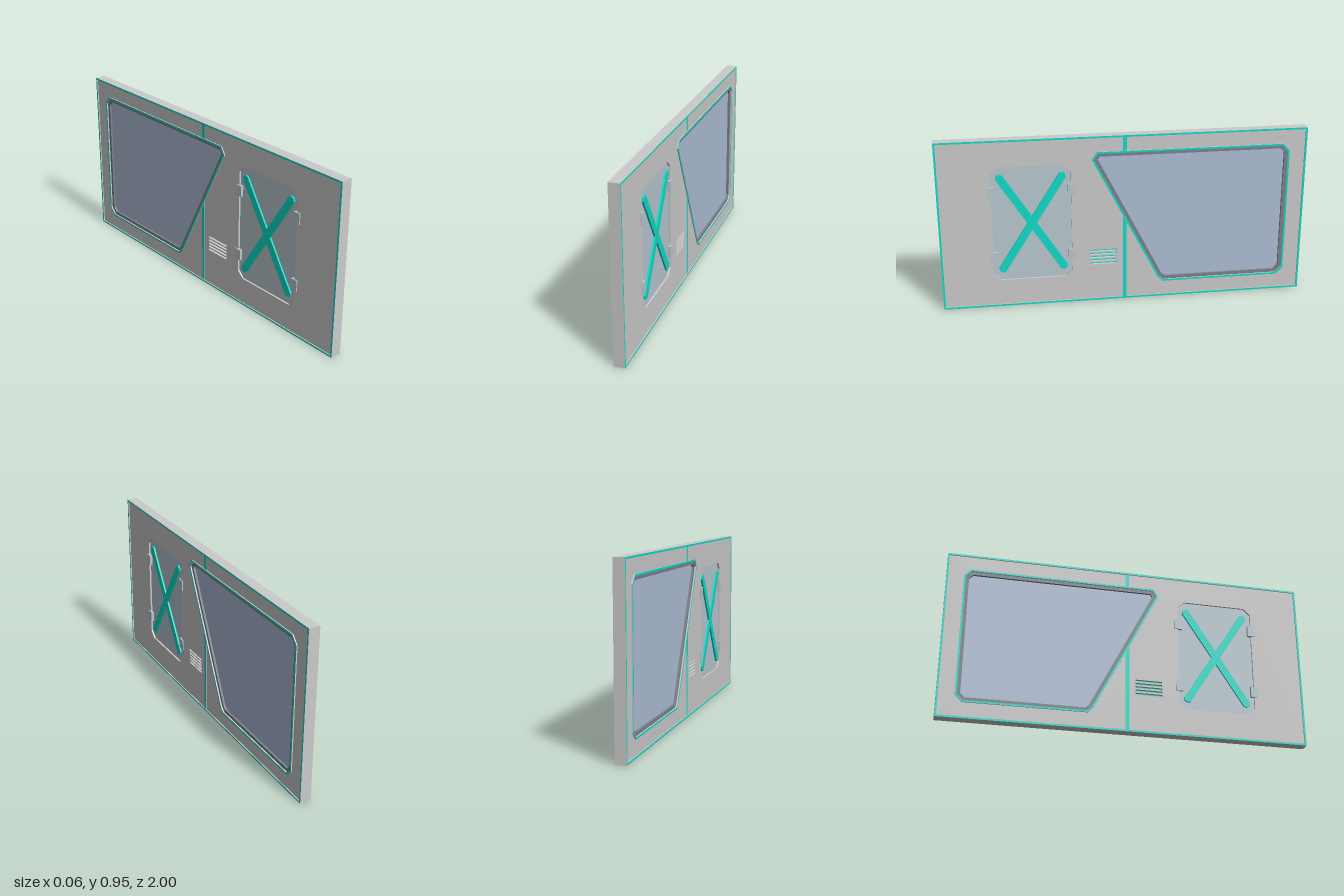
import * as THREE from 'three';

const mat = (color, extra = {}) => new THREE.MeshStandardMaterial({ color, ...extra });
const grey = mat(0xcccccc);
const cyan = mat(0x10dcc8);
const darkGrey = mat(0x7c838c);
const glassBlue = mat(0xafbed6);
const hatchBlue = mat(0xb9c8d0);

// Outlines are [z, y] pairs, counter-clockwise
const rect = (z0, y0, z1, y1) => [[z0, y0], [z1, y0], [z1, y1], [z0, y1]];

const chamferRect = (z0, y0, z1, y1, c) => [
  [z0 + c, y0], [z1 - c, y0], [z1, y0 + c], [z1, y1 - c],
  [z1 - c, y1], [z0 + c, y1], [z0, y1 - c], [z0, y0 + c],
];

// Move every edge of an outline inwards by d
function inset(pts, d) {
  const n = pts.length;
  const normal = (a, b) => {
    const l = Math.hypot(b[0] - a[0], b[1] - a[1]);
    return [-(b[1] - a[1]) / l, (b[0] - a[0]) / l];
  };
  return pts.map((p, i) => {
    const a = normal(pts[(i + n - 1) % n], p);
    const b = normal(p, pts[(i + 1) % n]);
    const k = d / (1 + a[0] * b[0] + a[1] * b[1]);
    return [p[0] + (a[0] + b[0]) * k, p[1] + (a[1] + b[1]) * k];
  });
}

const toVectors = (pts) => pts.map(([z, y]) => new THREE.Vector2(z, y));

// Slab symmetric about x = 0, reaching out to +-half on both faces
function slab(name, outline, half, material, holes = []) {
  const shape = new THREE.Shape(toVectors(outline));
  shape.holes = holes.map((h) => new THREE.Path(toVectors(h)));
  const geo = new THREE.ExtrudeGeometry(shape, { depth: half * 2, bevelEnabled: false });
  geo.translate(0, 0, -half);
  geo.rotateY(-Math.PI / 2);
  const mesh = new THREE.Mesh(geo, material);
  mesh.name = name;
  return mesh;
}

export function createModel() {
  const model = new THREE.Group();
  model.name = 'wallPanel';
  const FACE = 0.024, RIM = 0.03;

  const outer = rect(-1, 0, 1, 0.95);
  const inner = inset(outer, 0.01);
  const windowOutline = [
    [-0.214, 0.09], [0.177, 0.82], [0.15, 0.863], [-0.868, 0.863],
    [-0.906, 0.823], [-0.906, 0.13], [-0.868, 0.09],
  ];
  // small chamfer on the lower slanted corner
  windowOutline.splice(0, 1, [-0.214, 0.09], [-0.184, 0.118]);
  const hatchOutline = chamferRect(0.29, 0.155, 0.717, 0.803, 0.037);
  const slots = Array.from({ length: 5 }, (_, i) => {
    const y = 0.215 + i * 0.019;
    return rect(0.045, y, 0.193, y + 0.011);
  });

  // Wall with window, hatch and vent openings, and its coloured rim
  model.add(slab('wall', inner, FACE, grey, [windowOutline, hatchOutline, ...slots]));
  model.add(slab('rim', outer, RIM, [cyan, grey], [inner]));

  // Vertical seam strip, interrupted by the window
  model.add(slab('seamTop', rect(-0.01, 0.863, 0.01, 0.94), 0.026, [cyan, grey]));
  model.add(slab('seamBottom', [[-0.01, 0.01], [0.01, 0.01], [0.01, 0.49], [-0.01, 0.453]],
    0.026, [cyan, grey]));

  // Window: bright lip, dark inner frame, recessed pane
  const lip = inset(windowOutline, 0.01);
  const pane = inset(windowOutline, 0.028);
  model.add(slab('windowLip', windowOutline, RIM, [cyan, grey], [lip]));
  model.add(slab('windowFrame', lip, 0.022, darkGrey, [pane]));
  model.add(slab('windowPane', pane, 0.01, glassBlue));

  // Vent backing
  model.add(slab('ventBacking', rect(0.04, 0.21, 0.198, 0.307), 0.01, cyan));

  // Recessed hatch with crossed braces
  model.add(slab('hatch', hatchOutline, 0.014, hatchBlue));
  for (const side of [-1, 1]) {
    const brace = slab('hatchBrace', chamferRect(-0.327, -0.021, 0.327, 0.021, 0.012),
      side > 0 ? 0.024 : 0.0238, cyan);
    brace.position.set(0, 0.479, 0.503);
    brace.rotation.x = side * Math.atan2(0.275, 0.175);
    model.add(brace);
  }

  // Hinges on both edges of the hatch
  for (const z of [0.29, 0.717]) {
    for (const y of [0.29, 0.661]) {
      model.add(slab('hinge', rect(z - 0.02, y - 0.03, z + 0.02, y + 0.03), RIM, hatchBlue));
    }
  }
  return model;
}
